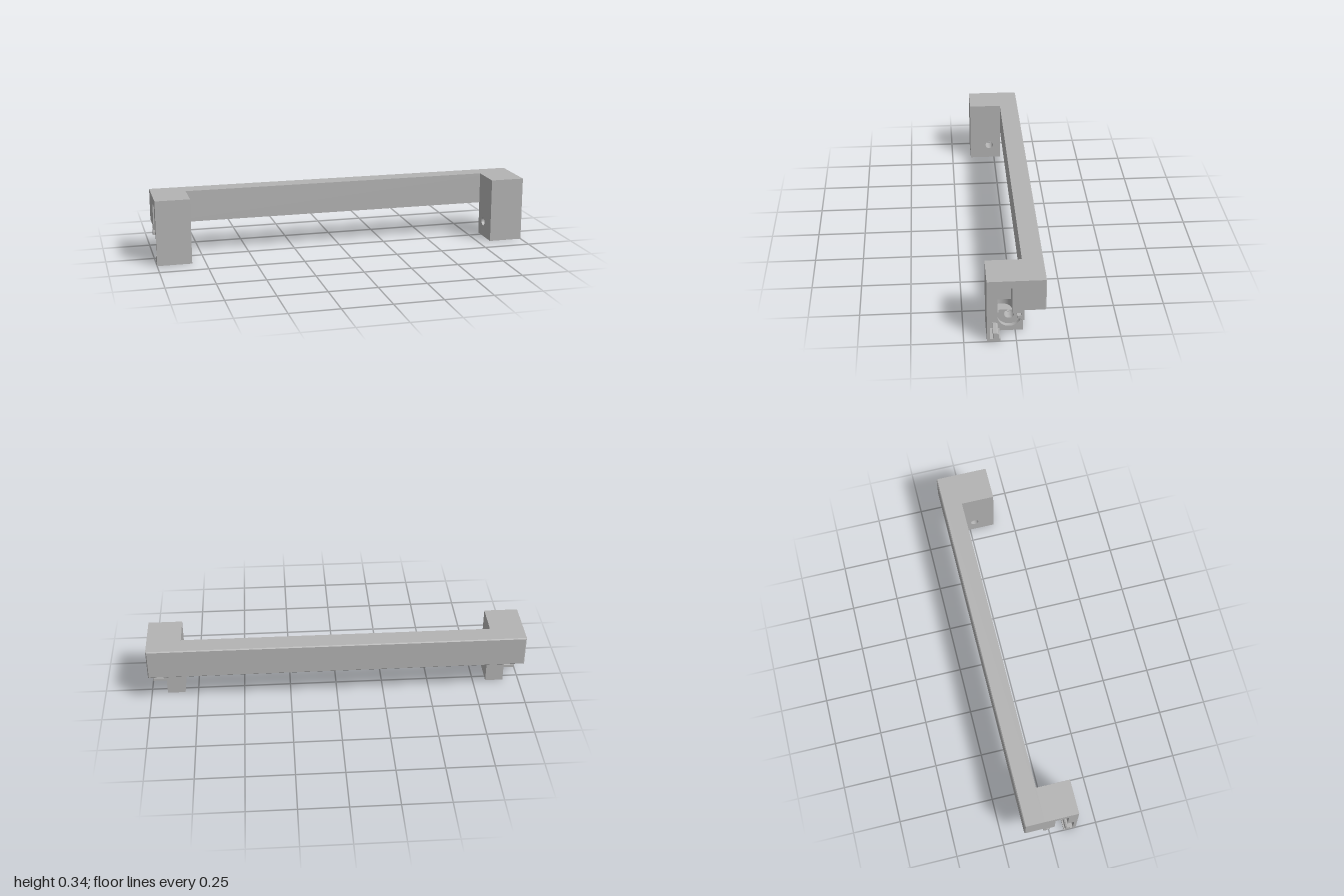
import * as THREE from 'three';

const grey = new THREE.MeshStandardMaterial({ color: 0xb3b3b3, side: THREE.DoubleSide });
grey.name = 'plain grey';

const TOP = 0.342, BACK = -0.037, FRONT = 0.14;
const HOLE = { z: 0.028, y: 0.082 };

// Cross-sections are drawn as [z, y] pairs and extruded along x
const outline = (points, Type = THREE.Shape) =>
  new Type(points.map(([z, y]) => new THREE.Vector2(-z, y)));
const rect = (z0, z1, y0, y1, Type) =>
  outline([[z0, y0], [z1, y0], [z1, y1], [z0, y1]], Type);
const circle = (r) => new THREE.Path().absarc(-HOLE.z, HOLE.y, r, 0, Math.PI * 2, false);

function add(parent, name, geometry) {
  const mesh = new THREE.Mesh(geometry, grey);
  mesh.name = name;
  parent.add(mesh);
  return mesh;
}

function slab(parent, name, shape, holes, x0, x1) {
  shape.holes.push(...holes);
  const geometry = new THREE.ExtrudeGeometry(shape, { depth: x1 - x0, bevelEnabled: false, curveSegments: 32 });
  geometry.rotateY(Math.PI / 2).translate(x0, 0, 0);
  return add(parent, name, geometry);
}

function createLeg() {
  const leg = new THREE.Group();
  const body = () => rect(FRONT, BACK, 0, TOP);
  const bore = { z0: 0.115, z1: 0.012, y0: 0.107, y1: 0.182 };

  // Inner wall with the through hole
  slab(leg, 'innerWall', body(), [circle(0.022)], 0.82, 0.843);

  // Middle layer, cut by the upright bore
  slab(leg, 'boreLayer', body(),
    [circle(0.0245), rect(bore.z0, bore.z1, bore.y0, bore.y1, THREE.Path)], 0.843, 0.895);

  // Counterbore merged with the mouth of the bore
  const r = 0.057;
  const mouth = new THREE.Path();
  mouth.absarc(-HOLE.z, HOLE.y, r, Math.PI - Math.asin((bore.y0 - HOLE.y) / r),
    Math.PI * 2 + Math.acos((HOLE.z - bore.z1) / r), false);
  mouth.lineTo(-bore.z1, bore.y1);
  mouth.lineTo(-bore.z0, bore.y1);
  mouth.lineTo(-bore.z0, bore.y0);
  mouth.closePath();
  slab(leg, 'counterboreLayer', body(), [mouth], 0.895, 0.915);

  // Rounded wall of the bore
  const radius = (bore.z0 - bore.z1) / 2;
  const wall = new THREE.CylinderGeometry(radius, radius, bore.y1 - bore.y0, 24, 1, true, Math.PI, Math.PI);
  wall.translate(0.895, (bore.y0 + bore.y1) / 2, (bore.z0 + bore.z1) / 2);
  add(leg, 'boreWall', wall);

  // Outer rim: front plate, lower hook, slot and upper hook, open to the back
  slab(leg, 'outerRim', outline([
    [FRONT, 0], [0.076, 0], [0.076, 0.015], [0.083, 0.015], [0.083, 0.034], [0.086, 0.043], [0.093, 0.047],
    [0.11, 0.047], [0.11, 0.015], [0.125, 0.015], [0.125, 0.16],
    [0.09, 0.16], [0.09, 0.302], [0.02, 0.302], [0.02, 0.16],
    [-0.022, 0.16], [-0.022, 0.145], [-0.003, 0.145], [-0.003, 0.132], [-0.022, 0.126],
    [-0.022, 0.12], [BACK, 0.12], [BACK, TOP], [FRONT, TOP],
  ]), [], 0.915, 1);
  return leg;
}

export function createModel() {
  const model = new THREE.Group();
  model.name = 'handle';

  // Long bar
  const y0 = 0.176, height = TOP - y0, chamfer = 0.005, plateFront = -0.14 + chamfer;
  const bar = new THREE.BoxGeometry(2, height, BACK - plateFront);
  add(model, 'bar', bar).position.set(0, y0 + height / 2, (BACK + plateFront) / 2);

  // Chamfered back face of the bar
  const plate = new THREE.BoxGeometry(2, height, chamfer);
  const p = plate.attributes.position;
  for (let i = 0; i < p.count; i++) {
    if (p.getZ(i) > 0) continue;
    p.setX(i, p.getX(i) - Math.sign(p.getX(i)) * chamfer);
    p.setY(i, p.getY(i) - Math.sign(p.getY(i)) * chamfer);
  }
  const flat = plate.toNonIndexed();
  flat.computeVertexNormals();
  add(model, 'barBack', flat).position.set(0, y0 + height / 2, plateFront - chamfer / 2);

  // Mirrored legs
  for (const side of [1, -1]) {
    const leg = createLeg();
    leg.name = side > 0 ? 'leftLeg' : 'rightLeg';
    leg.scale.x = side;
    model.add(leg);
  }
  return model;
}
